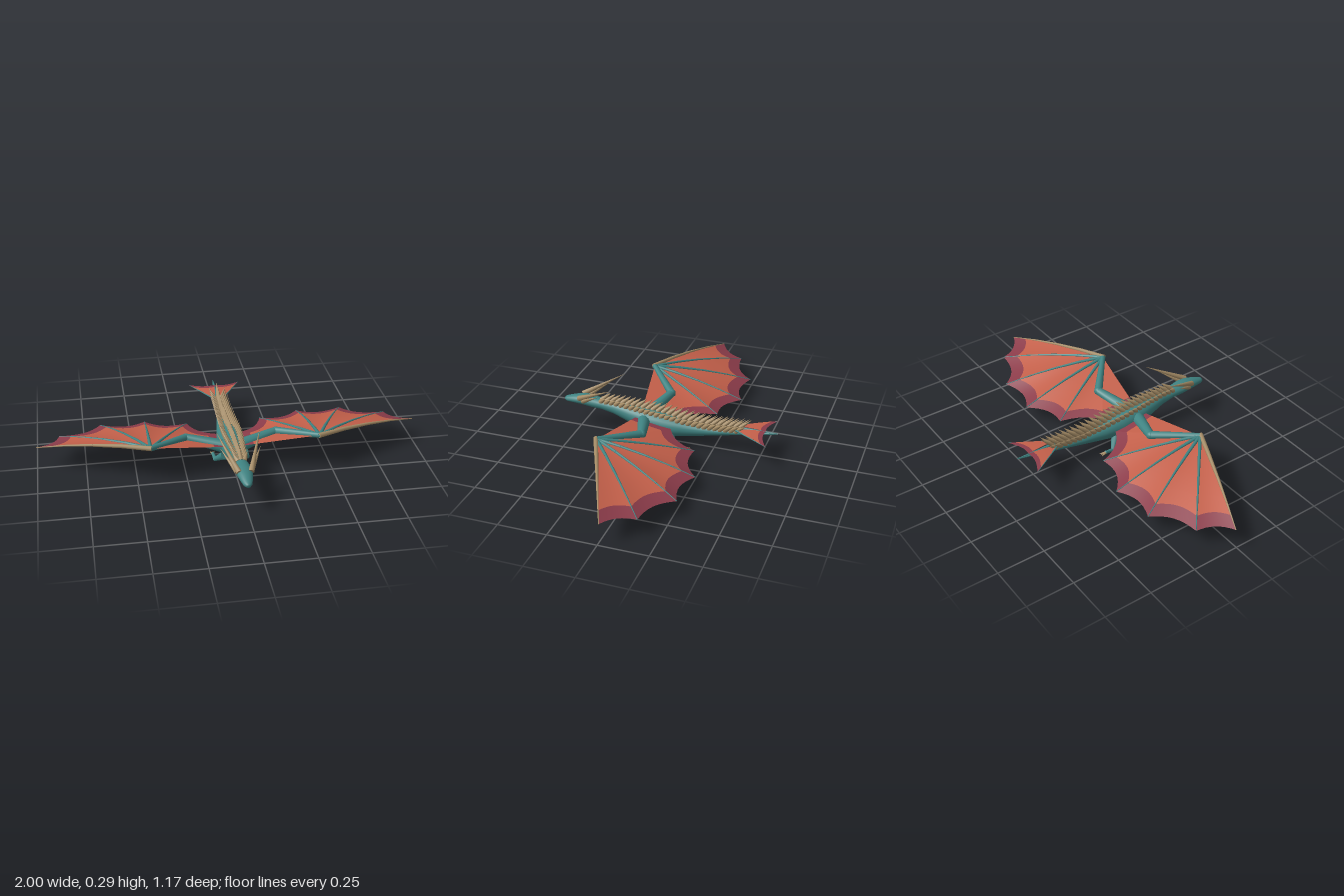
import * as THREE from 'three';

const mat = (name, color, side = THREE.FrontSide) => {
  const m = new THREE.MeshStandardMaterial({ color, side });
  m.name = name;
  return m;
};
const V = (x, y, z) => new THREE.Vector3(x, y, z);
const UP = V(0, 1, 0);

// body stations: z, centre height, half width, half height
const BODY = [
  [0.585, 0.153, 0.012, 0.01], [0.57, 0.154, 0.022, 0.016], [0.53, 0.16, 0.032, 0.022],
  [0.48, 0.165, 0.042, 0.028], [0.43, 0.16, 0.042, 0.03], [0.37, 0.152, 0.034, 0.027],
  [0.3, 0.145, 0.038, 0.036], [0.2, 0.125, 0.055, 0.052], [0.1, 0.103, 0.07, 0.068],
  [0.02, 0.097, 0.071, 0.066], [-0.08, 0.095, 0.055, 0.048], [-0.2, 0.098, 0.036, 0.03],
  [-0.3, 0.108, 0.026, 0.02], [-0.4, 0.12, 0.018, 0.013], [-0.5, 0.133, 0.01, 0.008],
  [-0.585, 0.143, 0.002, 0.002],
];

// interpolated body station at a given z
function station(z) {
  let i = 0;
  while (i < BODY.length - 2 && BODY[i + 1][0] > z) i++;
  const a = BODY[i], b = BODY[i + 1], t = (a[0] - z) / (a[0] - b[0]);
  return a.map((v, k) => v + (b[k] - v) * t);
}

function buildGeometry(pos, idx) {
  const g = new THREE.BufferGeometry();
  g.setAttribute('position', new THREE.Float32BufferAttribute(pos, 3));
  g.setIndex(idx);
  g.computeVertexNormals();
  return g;
}

// closed loft of elliptical sections along z
function loft(sections, n = 20) {
  const pos = [], idx = [];
  for (const [z, cy, rx, ry] of sections)
    for (let j = 0; j < n; j++) {
      const a = (j / n) * Math.PI * 2;
      pos.push(Math.sin(a) * rx, cy + Math.cos(a) * ry, z);
    }
  const last = sections.length - 1;
  for (let i = 0; i < last; i++)
    for (let j = 0; j < n; j++) {
      const a = i * n + j, b = i * n + ((j + 1) % n), c = a + n, d = b + n;
      idx.push(a, b, c, b, d, c);
    }
  for (const i of [0, last]) {
    const c = pos.length / 3;
    pos.push(0, sections[i][1], sections[i][0]);
    for (let j = 0; j < n; j++) {
      const a = i * n + j, b = i * n + ((j + 1) % n);
      if (i === 0) idx.push(c, b, a); else idx.push(c, a, b);
    }
  }
  return buildGeometry(pos, idx);
}

// open sheet through rows of points
function sheet(rows) {
  const pos = [], idx = [], n = rows[0].length;
  for (const p of rows.flat()) pos.push(p.x, p.y, p.z);
  for (let r = 0; r < rows.length - 1; r++)
    for (let i = r * n; i < r * n + n - 1; i++) idx.push(i, n + i, i + 1, i + 1, n + i, n + i + 1);
  return buildGeometry(pos, idx);
}

// point on the upward-bowed line from hub to p
function bowed(hub, p, t, bow) {
  const q = hub.clone().lerp(p, t);
  q.y += bow * 4 * t * (1 - t);
  return q;
}

export function createModel() {
  const teal = mat('teal skin', 0x3f8382);
  const coral = mat('coral membrane', 0xc4604a, THREE.DoubleSide);
  const maroon = mat('maroon membrane edge', 0x8c3c4a, THREE.DoubleSide);
  const horn = mat('tan horn', 0xa58c66);

  const root = new THREE.Group();
  root.name = 'dragon';
  const add = (parent, name, geo, m) => {
    const mesh = new THREE.Mesh(geo, m);
    mesh.name = name;
    parent.add(mesh);
    return mesh;
  };
  const group = (name) => {
    const g = new THREE.Group();
    g.name = name;
    root.add(g);
    return g;
  };
  // tapered rod from a to b
  const rod = (parent, name, a, b, ra, rb, m, sides = 10) => {
    const d = b.clone().sub(a);
    const mesh = add(parent, name, new THREE.CylinderGeometry(rb, ra, d.length(), sides), m);
    mesh.position.copy(a).addScaledVector(d, 0.5);
    mesh.quaternion.setFromUnitVectors(UP, d.normalize());
  };
  const ball = (parent, name, p, r, m) =>
    add(parent, name, new THREE.SphereGeometry(r, 12, 8), m).position.copy(p);
  // tapered bowed finger bone in four pieces
  const finger = (parent, name, a, b, ra, rb, bow, m) => {
    const radius = (t) => ra + (rb - ra) * t;
    for (let t = 0; t < 1; t += 0.25)
      rod(parent, name, bowed(a, b, t, bow), bowed(a, b, t + 0.25, bow), radius(t), radius(t + 0.25), m, 8);
  };

  // scalloped fan membrane: coral inside, maroon rim
  const fan = (parent, hub, tips, bows, keep, sags) => {
    for (let i = 0; i < tips.length - 1; i++) {
      const a = tips[i], b = tips[i + 1];
      const depth = (sags[i] * a.distanceTo(b)) / hub.distanceTo(a.clone().lerp(b, 0.5));
      const row = (f) => Array.from({ length: 9 }, (_, k) => {
        const t = k / 8, chord = a.clone().lerp(b, t);
        const p = chord.clone().lerp(hub, depth * 4 * t * (1 - t)).setY(chord.y);
        return bowed(hub, p, f, bows[i] + (bows[i + 1] - bows[i]) * t);
      });
      add(parent, 'membranePanel', sheet([0, 0.25, 0.5, 0.7, keep].map(row)), coral);
      add(parent, 'membraneRim', sheet([keep, 1].map(row)), maroon);
    }
  };

  add(root, 'body', loft(BODY), teal);

  // back spikes: tall centre row and splayed side rows
  const spikes = group('backSpikes');
  for (let i = 0; i < 27; i++) {
    const z = 0.375 - i * 0.0285;
    const [, cy, rx, ry] = station(z);
    const len = 0.064 + 0.042 * THREE.MathUtils.clamp((0.02 - z) / 0.28, 0, 1);
    for (const [angle, out, scale] of [[0, 0, 1], [0.5, 0.42, 0.8], [-0.5, -0.42, 0.8]]) {
      const base = V(Math.sin(angle) * rx, cy + Math.cos(angle) * ry - 0.005, z);
      const dir = V(out, 0.64, -0.7).normalize();
      rod(spikes, 'spike', base, base.clone().addScaledVector(dir, len * scale), 0.015, 0.0005, horn, 8);
    }
  }

  for (const s of [-1, 1]) {
    const side = s > 0 ? 'left' : 'right';
    const P = (x, y, z) => V(s * x, y, z);

    // horns
    const head = group(side + 'Horns');
    rod(head, 'longHorn', P(0.03, 0.178, 0.495), P(0.108, 0.29, 0.288), 0.015, 0.0005, horn, 8);
    rod(head, 'shortHorn', P(0.037, 0.168, 0.47), P(0.1, 0.24, 0.36), 0.013, 0.0005, horn, 8);

    // wing
    const wing = group(side + 'Wing');
    const shoulder = P(0.04, 0.115, 0.125), elbow = P(0.235, 0.15, 0.065), wrist = P(0.43, 0.197, 0.23);
    const tips = [
      P(0.998, 0.118, -0.01), P(0.88, 0.097, -0.15), P(0.66, 0.083, -0.265),
      P(0.42, 0.075, -0.28), P(0.2, 0.086, -0.205), P(0.06, 0.105, -0.03), P(0.05, 0.135, 0.165),
    ];
    const bows = [0.017, 0.017, 0.016, 0.014, 0.008, 0, 0];
    fan(wing, wrist, tips, bows, 0.865, [0.15, 0.15, 0.16, 0.16, 0.13, 0]);
    rod(wing, 'upperArm', shoulder, elbow, 0.036, 0.022, teal, 12);
    ball(wing, 'elbow', elbow, 0.023, teal);
    rod(wing, 'forearm', elbow, wrist, 0.022, 0.014, teal, 12);
    ball(wing, 'wrist', wrist, 0.013, teal);
    for (let i = 1; i < 5; i++) finger(wing, 'finger', wrist, tips[i], 0.01, 0.002, bows[i], teal);
    finger(wing, 'leadingFinger', P(0.425, 0.199, 0.236), tips[0], 0.013, 0.002, bows[0], horn);

    // legs tucked backwards, with claws
    for (const [name, hip, knee, ankle, toe] of [
      ['FrontLeg', P(0.045, 0.065, 0.13), P(0.085, 0.017, 0.078), P(0.09, 0.022, 0.03), -0.002],
      ['HindLeg', P(0.04, 0.07, -0.015), P(0.085, 0.014, -0.065), P(0.092, 0.026, -0.112), -0.147],
    ]) {
      const leg = group(side + name);
      rod(leg, 'thigh', hip, knee, 0.023, 0.011, teal);
      ball(leg, 'knee', knee, 0.012, teal);
      rod(leg, 'shin', knee, ankle, 0.011, 0.008, teal);
      ball(leg, 'foot', ankle, 0.009, teal);
      for (const k of [-1, 0, 1])
        rod(leg, 'claw', ankle, V(ankle.x + k * 0.012, ankle.y - 0.004, toe), 0.008, 0.0005, horn, 6);
    }

    // tail fin
    const fin = group(side + 'TailFin');
    const hub = P(0.018, 0.14, -0.355), tip = P(0.14, 0.14, -0.555);
    fan(fin, hub, [tip, P(0, 0.147, -0.52)], [0.004, 0.004], 0.84, [0.12]);
    rod(fin, 'finSpar', hub, tip, 0.005, 0.001, teal, 6);
  }
  // spar along the middle of the tail fin
  rod(root, 'tailSpar', V(0, 0.138, -0.35), V(0, 0.145, -0.585), 0.011, 0.002, teal, 8);
  return root;
}
